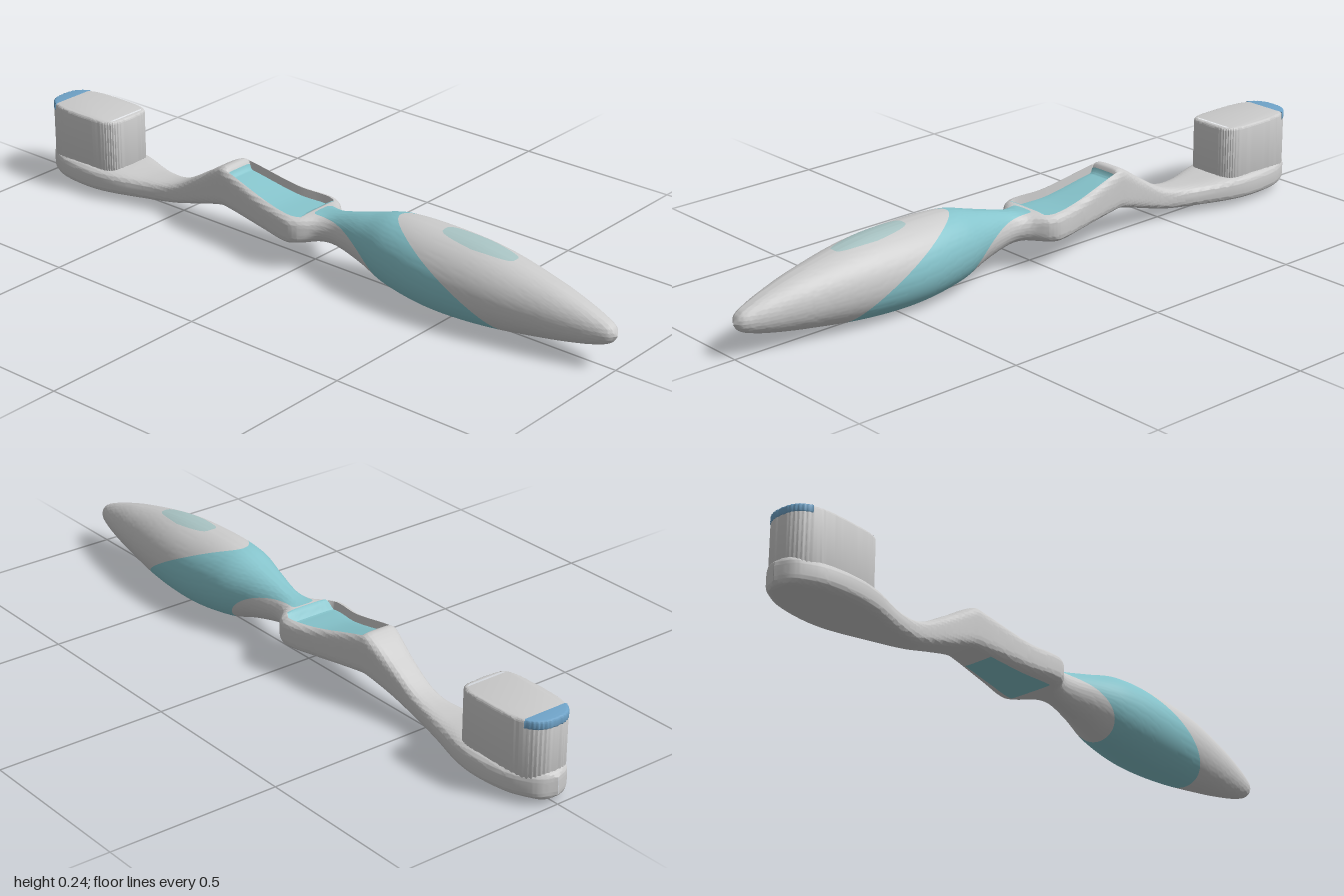
import * as THREE from 'three';
import { toCreasedNormals } from 'three/addons/utils/BufferGeometryUtils.js';

const GREY = 0xcccccc, TEAL = 0x86c4cc, BLUE = 0x6fa3c8, PALE = 0xa9c4c4;

// Body stations: z, half width, bottom y, top y, squareness of the section
const STATIONS = [
  [1, 0.002, 0.099, 0.103, 2], [0.985, 0.022, 0.078, 0.125, 2], [0.95, 0.036, 0.063, 0.142, 2],
  [0.9, 0.05, 0.05, 0.16, 2], [0.8, 0.073, 0.032, 0.188, 2], [0.62, 0.105, 0.009, 0.222, 2],
  [0.45, 0.115, 0.004, 0.232, 2], [0.3, 0.1, 0.022, 0.229, 2], [0.2, 0.072, 0.053, 0.203, 2],
  [0.1, 0.049, 0.075, 0.176, 2], [0.05, 0.06, 0.08, 0.165, 2.4], [0.01, 0.094, 0.078, 0.161, 4],
  [-0.025, 0.104, 0.075, 0.162, 5], [-0.12, 0.086, 0.078, 0.17, 5], [-0.28, 0.062, 0.09, 0.207, 5],
  [-0.31, 0.058, 0.089, 0.209, 5], [-0.4, 0.045, 0.062, 0.155, 4], [-0.5, 0.042, 0.034, 0.1, 3.5],
  [-0.6, 0.06, 0.022, 0.086, 3.5], [-0.72, 0.094, 0.017, 0.092, 4], [-0.8, 0.103, 0.015, 0.095, 4],
  [-0.9, 0.092, 0.015, 0.095, 4], [-0.96, 0.064, 0.016, 0.094, 4], [-0.985, 0.04, 0.018, 0.092, 4],
  [-1, 0.001, 0.03, 0.08, 3],
];

// Smooth interpolation of one station column
function column(z, k) {
  const S = STATIONS, last = S.length - 1;
  let i = 0;
  while (i < last - 1 && z < S[i + 1][0]) i++;
  const slope = (j) => {
    const a = S[Math.max(j - 1, 0)], b = S[Math.min(j + 1, last)];
    return (b[k] - a[k]) / (b[0] - a[0]);
  };
  const h = S[i + 1][0] - S[i][0], t = (z - S[i][0]) / h, t2 = t * t, t3 = t2 * t;
  return (2 * t3 - 3 * t2 + 1) * S[i][k] + (t3 - 2 * t2 + t) * h * slope(i)
    + (3 * t2 - 2 * t3) * S[i + 1][k] + (t3 - t2) * h * slope(i + 1);
}

// Point of the body surface, including the sunken well behind the neck
function surface(z, theta, lift) {
  const a = Math.max(column(z, 1), 0.001), lo = column(z, 2), hi = column(z, 3);
  const p = 2 / Math.max(column(z, 4), 2);
  const c = Math.cos(theta), s = Math.sin(theta);
  const pow = (v) => Math.sign(v) * Math.abs(v) ** p;
  let y = (lo + hi) / 2 + pow(s) * (hi - lo) / 2 + lift;
  if (s > 0 && Math.abs(c) < 0.54) {
    y -= 0.026 * THREE.MathUtils.smoothstep(-z, -0.01, 0.015) * (1 - THREE.MathUtils.smoothstep(-z, 0.275, 0.29));
  }
  return [a * pow(c), y, z];
}

function addMesh(group, name, geometry, color) {
  const mesh = new THREE.Mesh(geometry, new THREE.MeshStandardMaterial({ color }));
  mesh.name = name;
  group.add(mesh);
}

// Part of the body between two z limits, each a number or a function of the angle
function addBand(group, name, color, from, to, steps, opt = {}) {
  const { t0 = 0, t1 = Math.PI * 2, segs = 96, lift = 0, ease = (s) => s } = opt;
  const at = (f, theta) => (typeof f === 'function' ? f(theta) : f);
  const pos = [], index = [];
  for (let i = 0; i <= steps; i++) {
    for (let j = 0; j <= segs; j++) {
      const theta = t0 + (t1 - t0) * j / segs;
      pos.push(...surface(THREE.MathUtils.lerp(at(from, theta), at(to, theta), ease(i / steps)), theta, lift));
      if (i < steps && j < segs) {
        const a = i * (segs + 1) + j, b = a + segs + 1;
        index.push(a, b, a + 1, a + 1, b, b + 1);
      }
    }
  }
  const g = new THREE.BufferGeometry();
  g.setAttribute('position', new THREE.Float32BufferAttribute(pos, 3));
  g.setIndex(index);
  addMesh(group, name, toCreasedNormals(g, 0.6), color);
}

// Plan outline of the bristle block: squarish toward the handle, rounder at the end
function bristleOutline(grow) {
  const pts = [], n = 240;
  for (let i = 0; i < n; i++) {
    const t = i / n * Math.PI * 2, c = Math.cos(t), s = Math.sin(t);
    const p = 2 / (s > 0 ? 5 : 2.7);
    const r = 1 + grow + 0.008 * Math.cos(t * 48);
    pts.push(new THREE.Vector2(
      0.085 * r * Math.sign(c) * Math.abs(c) ** p,
      -0.845 + 0.139 * r * Math.sign(s) * Math.abs(s) ** p));
  }
  return pts;
}

function upright(points, top, bottom, bevel) {
  const g = new THREE.ExtrudeGeometry(new THREE.Shape(points), {
    depth: top - bottom - 2 * bevel, bevelEnabled: true, bevelThickness: bevel,
    bevelSize: bevel, bevelOffset: -bevel, bevelSegments: 3,
  });
  g.rotateX(Math.PI / 2).translate(0, top - bevel, 0);
  return toCreasedNormals(g, 0.7);
}

export function createModel() {
  const group = new THREE.Group();
  group.name = 'toothbrush';

  // Handle, with a slanting soft grip wrapped around it
  const gripFront = (a) => { const t = Math.sin(a); return 0.56 - 0.19 * t - 0.07 * t * t; };
  const gripBack = (a) => { const t = Math.sin(a); return 0.2 - 0.13 * t - 0.05 * t * t; };
  addBand(group, 'handleEnd', GREY, 1, gripFront, 48, { ease: (s) => s ** 1.6 });
  addBand(group, 'grip', TEAL, gripFront, gripBack, 40);

  // Neck, thumb rest, shaft and head
  addBand(group, 'neck', GREY, gripBack, 0.012, 24);
  addBand(group, 'shaft', GREY, 0.012, -0.9, 180);
  addBand(group, 'headTip', GREY, -0.9, -1, 24, { ease: (s) => Math.sin(s * Math.PI / 2) });

  // Soft inlays above and below the thumb rest
  addBand(group, 'thumbPad', TEAL, 0.012, -0.283, 60,
    { t0: Math.PI / 3, t1: Math.PI * 2 / 3, segs: 16, lift: 0.002 });
  addBand(group, 'lowerPad', TEAL, -0.02, -0.24, 40,
    { t0: Math.PI * 1.38, t1: Math.PI * 1.62, segs: 16, lift: -0.002 });

  // Pale oval patch on top of the handle
  const bow = (a) => 0.115 * (1 - Math.abs((a - Math.PI / 2) / 0.37) ** 4);
  addBand(group, 'handlePatch', PALE, (a) => 0.565 + bow(a), (a) => 0.565 - bow(a), 24,
    { t0: Math.PI / 2 - 0.37, t1: Math.PI / 2 + 0.37, segs: 24, lift: 0.0015 });

  // Bristles with a coloured tuft at the tip
  addMesh(group, 'bristles', upright(bristleOutline(0), 0.24, 0.07, 0.008), GREY);
  addMesh(group, 'tipTuft', upright(bristleOutline(0.008).filter((p) => p.y < -0.942), 0.2415, 0.215, 0.006), BLUE);
  return group;
}
